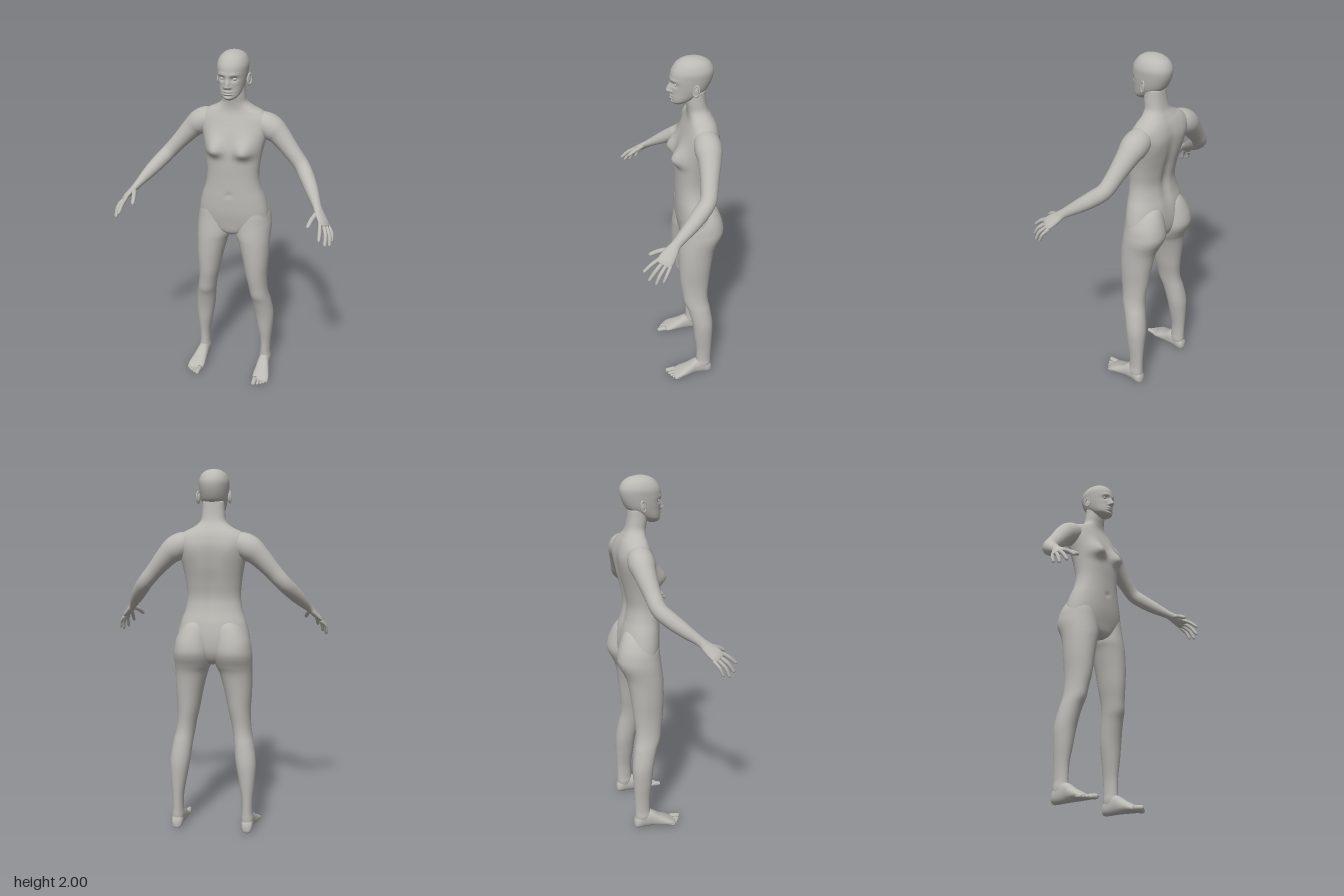
import * as THREE from 'three';

const X = new THREE.Vector3(1, 0, 0), Y = new THREE.Vector3(0, 1, 0), Z = new THREE.Vector3(0, 0, 1);

// Smooth closed skin through rows [x, y, z, ra, rb]; axes = [u, v] fixes the ring plane,
// otherwise rings stand square to the path with u kept close to ref.
function loft(rows, { axes, ref = X, rings = 40, sides = 24, power = 2, shape } = {}) {
  const path = new THREE.CatmullRomCurve3(rows.map(r => new THREE.Vector3(r[0], r[1], r[2])), false, 'catmullrom');
  const radii = new THREE.CatmullRomCurve3(rows.map(r => new THREE.Vector3(r[3], r[4], 0)), false, 'catmullrom');
  const round = c => Math.sign(c) * Math.pow(Math.abs(c), 2 / power);
  const pos = [], index = [];
  const put = p => { if (shape) shape(p); pos.push(p.x, p.y, p.z); };
  for (let i = 0; i <= rings; i++) {
    const c = path.getPoint(i / rings), r = radii.getPoint(i / rings);
    let [u, v] = axes || [];
    if (!axes) {
      const t = path.getTangent(i / rings);
      u = ref.clone().addScaledVector(t, -ref.dot(t)).normalize();
      v = t.clone().cross(u);
    }
    for (let j = 0; j < sides; j++) {
      const a = (j / sides) * Math.PI * 2;
      put(c.clone().addScaledVector(u, round(Math.cos(a)) * Math.max(r.x, 0.002))
        .addScaledVector(v, round(Math.sin(a)) * Math.max(r.y, 0.002)));
      if (i < rings) {
        const k = (j + 1) % sides, a0 = i * sides + j, b0 = i * sides + k;
        index.push(a0, b0, b0 + sides, a0, b0 + sides, a0 + sides);
      }
    }
  }
  const n = (rings + 1) * sides, last = rings * sides;
  put(path.getPoint(0));
  put(path.getPoint(1));
  for (let j = 0; j < sides; j++) {
    const k = (j + 1) % sides;
    index.push(n, k, j, n + 1, last + j, last + k);
  }
  const g = new THREE.BufferGeometry();
  g.setAttribute('position', new THREE.Float32BufferAttribute(pos, 3));
  g.setIndex(index);
  g.computeVertexNormals();
  return g;
}

// Upright rows: [y, centre x, half width, front z, back z]
const upright = rows => rows.map(([y, x, w, f, b]) => [x, y, (f + b) / 2, (f - b) / 2, w]);

// Rounded digit from base to tip through a middle point
function digit(base, mid, tip, r) {
  const b = new THREE.Vector3(...base), m = new THREE.Vector3(...mid), t = new THREE.Vector3(...tip);
  const at = (p, s) => [p.x, p.y, p.z, r * s, r * s];
  return loft([at(b, 1), at(m, 1), at(m.clone().lerp(t, 0.65), 0.9), at(m.clone().lerp(t, 0.9), 0.68), at(t, 0.1)],
    { ref: X, rings: 16, sides: 10 });
}

// Mirror a geometry across x = 0, keeping faces outward
function mirrored(g) {
  const m = g.clone().scale(-1, 1, 1), id = m.index.array;
  for (let i = 0; i < id.length; i += 3) [id[i], id[i + 1]] = [id[i + 1], id[i]];
  m.computeVertexNormals();
  return m;
}

const bell = (d, s) => Math.exp(-(d * d) / (s * s));

// Chest, spine groove and navel
function shapeTorso(p) {
  const front = THREE.MathUtils.smoothstep(p.z, -0.11, -0.03);
  const back = THREE.MathUtils.smoothstep(-p.z, 0.13, 0.18);
  const dy = p.y - 1.472, ax = Math.abs(p.x);
  p.z += front * 0.045 * bell(ax - 0.085, 0.05) * bell(dy, dy > 0 ? 0.065 : 0.036);
  p.z -= front * 0.008 * bell(p.x, 0.012) * bell(p.y - 1.215, 0.014);
  p.z += back * 0.014 * bell(p.x, 0.028) * bell(p.y - 1.38, 0.22);
  p.z -= back * 0.006 * bell(ax - 0.1, 0.05) * bell(p.y - 1.57, 0.07);
}

// Nose, brow, eye sockets, lips and chin
function shapeHead(p) {
  if (p.z < -0.05) return;
  const ax = Math.abs(p.x), dn = p.y - 1.832;
  const ramp = THREE.MathUtils.smoothstep(p.z, -0.05, -0.01);
  p.z += ramp * (
    0.026 * bell(p.x, dn > 0 ? 0.012 : 0.014) * bell(dn, dn > 0 ? 0.034 : 0.009)
    + 0.007 * bell(ax - 0.013, 0.008) * bell(p.y - 1.829, 0.008)
    + 0.005 * bell(ax - 0.03, 0.025) * bell(p.y - 1.893, 0.009)
    - 0.014 * bell(ax - 0.032, 0.017) * bell(p.y - 1.871, 0.012)
    + 0.008 * bell(p.x, 0.02) * bell(p.y - 1.805, 0.006)
    + 0.008 * bell(p.x, 0.018) * bell(p.y - 1.792, 0.005)
    - 0.004 * bell(p.x, 0.025) * bell(p.y - 1.7985, 0.003)
    - 0.004 * bell(p.x, 0.025) * bell(p.y - 1.783, 0.005)
    + 0.004 * bell(p.x, 0.02) * bell(p.y - 1.77, 0.007));
}

export function createModel() {
  const model = new THREE.Group();
  model.name = 'standingFigure';
  const skin = new THREE.MeshStandardMaterial({ color: 0xbbb9b4 });
  skin.name = 'plainGrey';
  const add = (name, g) => {
    const mesh = new THREE.Mesh(g, skin);
    mesh.name = name;
    model.add(mesh);
  };
  const pair = (name, g) => {
    add('left' + name, g);
    add('right' + name, mirrored(g));
  };

  // Torso and neck
  add('torso', loft(upright([
    [0.955, 0, 0.03, -0.04, -0.15], [0.98, 0, 0.11, -0.02, -0.185], [1.03, 0, 0.195, -0.01, -0.21],
    [1.1, 0, 0.2, 0, -0.215], [1.18, 0, 0.182, 0.003, -0.205], [1.25, 0, 0.158, 0.003, -0.186],
    [1.32, 0, 0.147, 0.003, -0.177], [1.4, 0, 0.153, 0.004, -0.19], [1.48, 0, 0.166, -0.002, -0.208],
    [1.55, 0, 0.183, -0.018, -0.218], [1.6, 0, 0.193, -0.035, -0.22], [1.64, 0, 0.188, -0.05, -0.212],
    [1.67, 0, 0.155, -0.06, -0.2], [1.695, 0, 0.105, -0.063, -0.185], [1.725, 0, 0.07, -0.06, -0.168],
    [1.77, 0, 0.062, -0.052, -0.157], [1.83, 0, 0.058, -0.05, -0.15],
  ]), { axes: [Z, X], rings: 110, sides: 72, power: 2.25, shape: shapeTorso }));

  // Head
  add('head', loft(upright([
    [1.757, 0, 0.018, 0.004, -0.04], [1.766, 0, 0.034, 0.015, -0.055], [1.78, 0, 0.049, 0.02, -0.08],
    [1.8, 0, 0.059, 0.021, -0.115], [1.83, 0, 0.068, 0.021, -0.155], [1.86, 0, 0.074, 0.023, -0.175],
    [1.9, 0, 0.079, 0.026, -0.19], [1.935, 0, 0.08, 0.02, -0.192], [1.968, 0, 0.067, -0.001, -0.175],
    [1.988, 0, 0.045, -0.028, -0.146], [1.997, 0, 0.022, -0.057, -0.114], [2, 0, 0.003, -0.08, -0.088],
  ]), { axes: [Z, X], rings: 90, sides: 96, power: 2.1, shape: shapeHead }));
  pair('Eye', new THREE.SphereGeometry(0.012, 16, 12).scale(1.1, 0.75, 0.8).translate(0.032, 1.871, 0.002));

  // Ears: bowl with a raised rim
  pair('Ear', new THREE.SphereGeometry(0.02, 16, 12).scale(0.35, 1.25, 0.75).rotateY(-0.35).translate(0.081, 1.85, -0.09));
  pair('EarRim', new THREE.TorusGeometry(0.018, 0.005, 8, 24).scale(0.85, 1.5, 1)
    .rotateY(Math.PI / 2 - 0.4).rotateX(-0.15).translate(0.086, 1.852, -0.092));

  // Arm and palm in one sweep
  const across = new THREE.Vector3(0.54, -0.4, -0.74).normalize();
  pair('Arm', loft([
    [0.1, 1.615, -0.13, 0.045, 0.045], [0.155, 1.605, -0.135, 0.066, 0.066], [0.205, 1.58, -0.137, 0.069, 0.069],
    [0.25, 1.543, -0.135, 0.058, 0.058], [0.32, 1.467, -0.122, 0.046, 0.046], [0.38, 1.4, -0.105, 0.042, 0.042],
    [0.42, 1.355, -0.06, 0.042, 0.041], [0.462, 1.307, 0, 0.036, 0.035], [0.505, 1.255, 0.07, 0.026, 0.022],
    [0.527, 1.228, 0.1, 0.034, 0.018], [0.555, 1.197, 0.133, 0.041, 0.015], [0.57, 1.18, 0.15, 0.032, 0.008],
  ], { ref: across, rings: 80, sides: 28 }));

  // Fingers: knuckle, middle, tip, radius
  const fingers = {
    Thumb: [[0.518, 1.236, 0.1], [0.498, 1.214, 0.158], [0.485, 1.185, 0.21], 0.0125],
    IndexFinger: [[0.54, 1.205, 0.155], [0.55, 1.178, 0.2], [0.556, 1.135, 0.248], 0.0105],
    MiddleFinger: [[0.558, 1.19, 0.148], [0.578, 1.155, 0.187], [0.585, 1.1, 0.225], 0.0105],
    RingFinger: [[0.57, 1.18, 0.133], [0.595, 1.142, 0.167], [0.605, 1.087, 0.192], 0.01],
    LittleFinger: [[0.575, 1.175, 0.113], [0.602, 1.145, 0.135], [0.611, 1.1, 0.155], 0.009],
  };
  for (const [name, f] of Object.entries(fingers)) pair(name, digit(...f));

  // Leg, rising into the hip and buttock
  pair('Leg', loft(upright([
    [0.04, 0.2, 0.03, -0.105, -0.185], [0.08, 0.199, 0.035, -0.098, -0.188], [0.12, 0.198, 0.031, -0.1, -0.188],
    [0.2, 0.198, 0.033, -0.099, -0.19], [0.3, 0.194, 0.046, -0.086, -0.194], [0.4, 0.187, 0.057, -0.074, -0.195],
    [0.5, 0.174, 0.056, -0.05, -0.18], [0.56, 0.163, 0.054, -0.027, -0.168], [0.62, 0.154, 0.055, -0.018, -0.166],
    [0.7, 0.144, 0.063, -0.006, -0.174], [0.8, 0.137, 0.076, 0, -0.185], [0.9, 0.125, 0.09, 0.001, -0.2],
    [0.95, 0.115, 0.101, -0.001, -0.219], [1, 0.111, 0.106, -0.007, -0.244], [1.04, 0.109, 0.104, -0.012, -0.252],
    [1.1, 0.105, 0.095, -0.018, -0.24], [1.17, 0.09, 0.072, -0.03, -0.21], [1.21, 0.08, 0.035, -0.06, -0.17],
  ]), { axes: [Z, X], rings: 90, sides: 36, power: 2.1 }));

  // Foot, heel to ball
  pair('Foot', loft([
    [0.2, 0.032, -0.195, 0.01, 0.014], [0.2, 0.037, -0.187, 0.025, 0.032], [0.2, 0.045, -0.165, 0.033, 0.043],
    [0.2, 0.054, -0.13, 0.033, 0.052], [0.2, 0.052, -0.09, 0.036, 0.05], [0.205, 0.037, -0.045, 0.043, 0.035],
    [0.209, 0.025, 0, 0.05, 0.023], [0.211, 0.018, 0.025, 0.048, 0.016], [0.209, 0.014, 0.045, 0.038, 0.009],
  ], { axes: [X, Y], rings: 40, sides: 28, power: 2.3, shape: p => { p.y = Math.max(p.y, 0.004); } }));

  // Toes: x, base z, tip z, radius
  [[0.182, 0.03, 0.09, 0.0145], [0.205, 0.032, 0.077, 0.01], [0.223, 0.026, 0.066, 0.0095],
    [0.238, 0.018, 0.054, 0.009], [0.252, 0.006, 0.04, 0.0088]].forEach(([x, z0, z1, r], i) =>
    pair('Toe' + (i + 1), digit([x - 0.003, r + 0.006, z0], [x, r + 0.003, (z0 + z1) / 2], [x, r, z1], r)));

  // Soles rest on the ground
  model.updateMatrixWorld(true);
  const box = new THREE.Box3().setFromObject(model, true);
  model.children.forEach(m => m.geometry.translate(0, -box.min.y, 0));
  return model;
}
